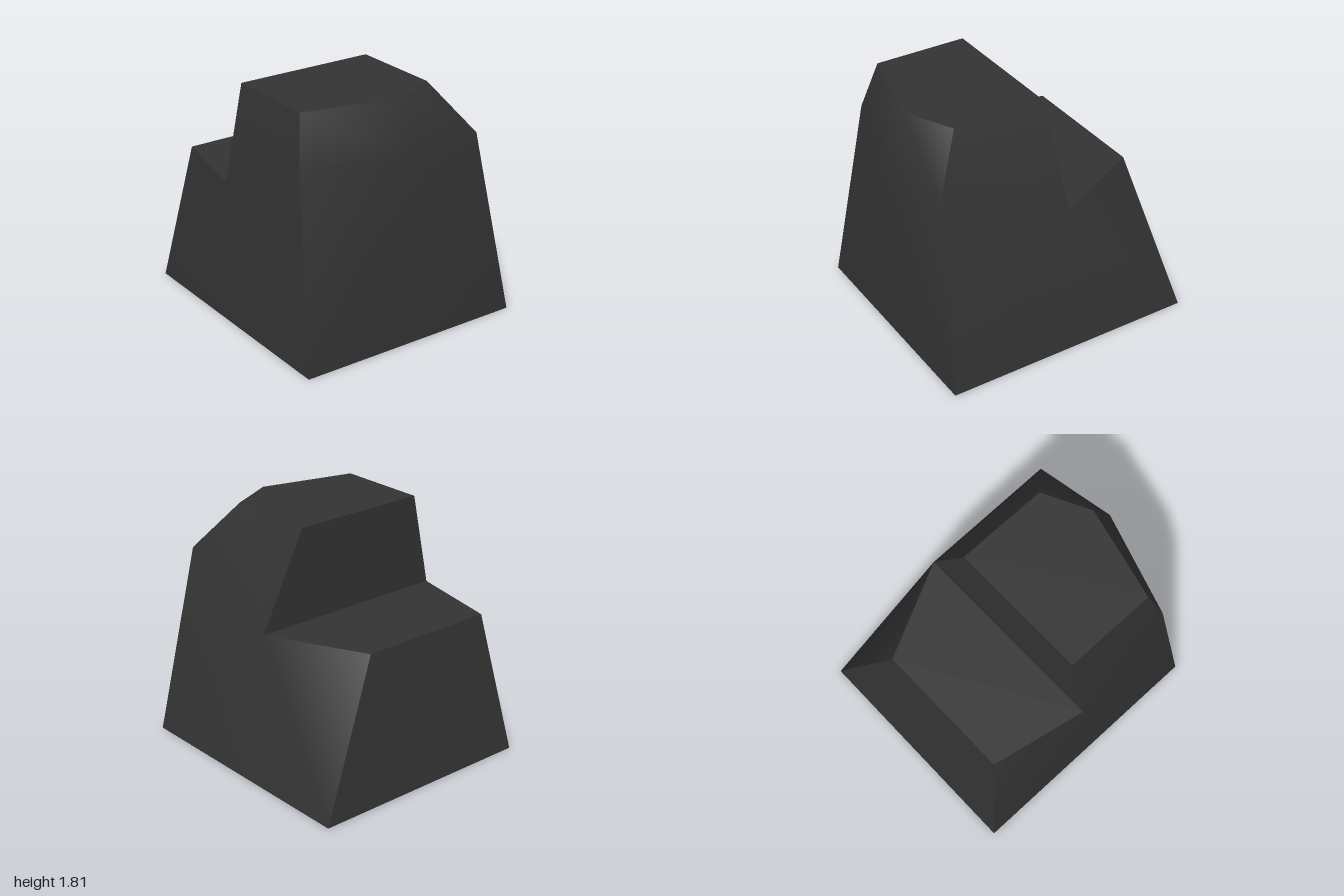
import * as THREE from 'three';

// Named corners of the stepped block
const base = { fl: [-0.9, 0, 0.98], fr: [0.9, 0, 0.98], bl: [-0.9, 0, -1], br: [0.9, 0, -1] };
const shelf = { fl: [-0.87, 1.09, -0.09], fr: [0.72, 1.09, -0.09], bl: [-0.72, 1.09, -0.82], br: [0.36, 1.09, -0.82] };
const brow = { l: [-0.8, 1.45, 0.74], mid: [0, 1.45, 1], r: [0.61, 1.45, 0.89] };
const top = { bl: [-0.72, 1.81, -0.09], br: [0.36, 1.81, -0.09], fl: [-0.72, 1.81, 0.63], mid: [0, 1.81, 0.81], fr: [0.36, 1.81, 0.63] };

// Triangle fan around the first corner, counter-clockwise from outside
const fan = (n) => Array.from({ length: n - 2 }, (_, i) => [0, i + 1, i + 2]).flat();

export function createModel() {
  const group = new THREE.Group();
  group.name = 'steppedBlock';
  const charcoal = new THREE.MeshStandardMaterial({ color: 0x333333 });
  charcoal.name = 'charcoal';

  // Each panel is smooth inside and has hard edges to its neighbours
  const panel = (name, points, index = fan(points.length)) => {
    const geometry = new THREE.BufferGeometry();
    geometry.setAttribute('position', new THREE.Float32BufferAttribute(points.flat(), 3));
    geometry.setIndex(index);
    geometry.computeVertexNormals();
    const mesh = new THREE.Mesh(geometry, charcoal);
    mesh.name = name;
    group.add(mesh);
  };

  panel('underside', [base.fl, base.bl, base.br, base.fr]);
  panel('topFace', [top.br, top.bl, top.fl, top.mid, top.fr]);
  panel('stepShelf', [shelf.br, shelf.bl, shelf.fl, shelf.fr]);
  panel('stepWall', [shelf.fr, shelf.fl, top.bl, top.br]);
  panel('backFace', [base.br, base.bl, shelf.bl, shelf.br]);

  // Sides fan out from the inner corner of the step
  panel('leftSide', [shelf.fr, top.br, top.fr, brow.r, base.fr, base.br, shelf.br]);
  panel('rightSide', [shelf.fl, shelf.bl, base.bl, base.fl, brow.l, top.fl, top.bl]);

  // Bulging front around the middle of the brow
  panel('frontFace', [brow.mid, top.mid, top.fl, brow.l, base.fl, base.fr, brow.r, top.fr],
    [...fan(7), 0, 6, 1, 1, 6, 7]);

  return group;
}
